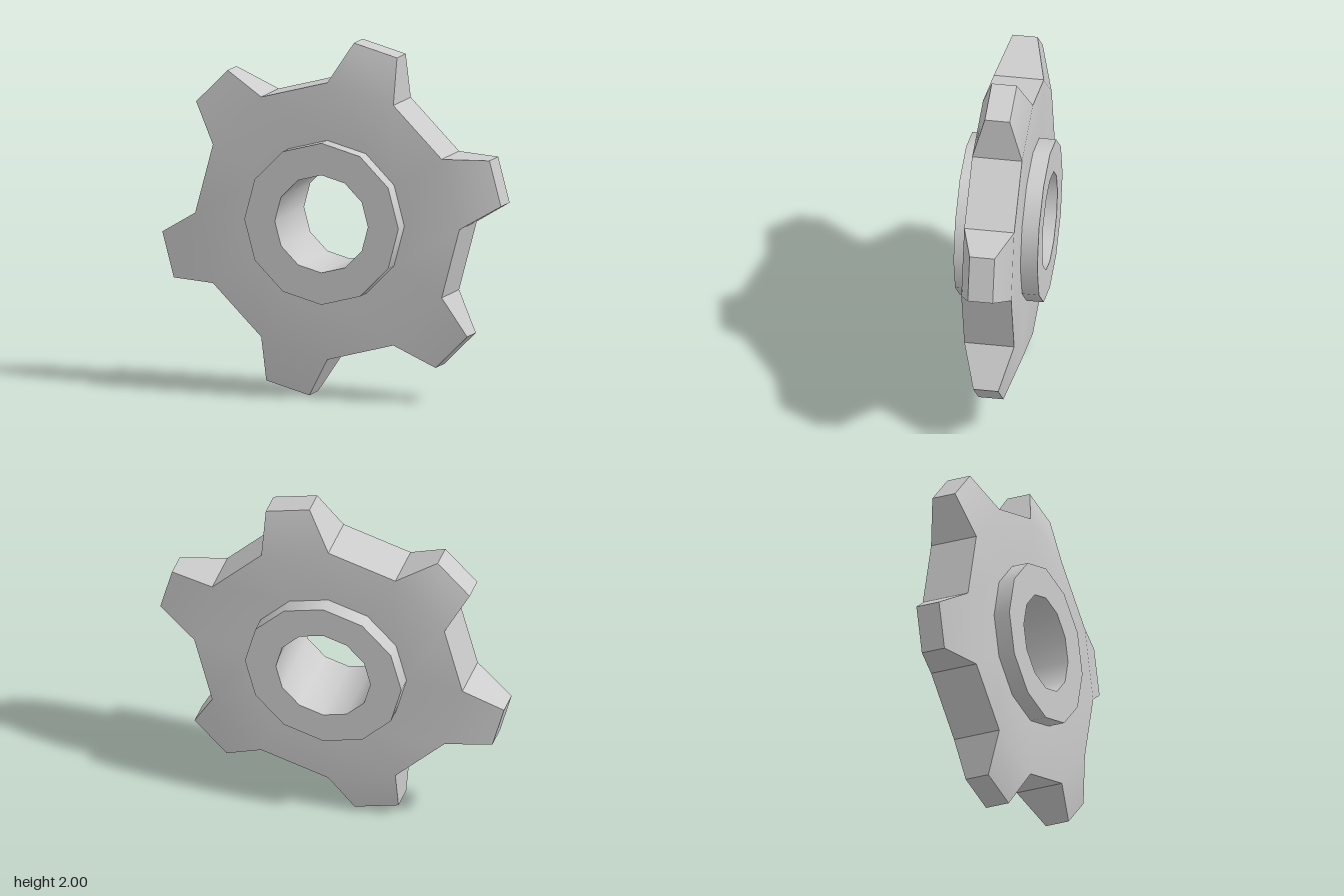
import * as THREE from 'three';
import { toCreasedNormals } from 'three/addons/utils/BufferGeometryUtils.js';

const STEP = Math.PI / 6; // twelve sectors: teeth and gaps alternate
const CREASE = 0.65;
const HUB_R = 0.455, HOLE_R = 0.275, HUB_HALF = 0.235;
const ROOT_R = 0.78, ROOT_HALF = 0.14;
const TIP_R = 1.0086, TIP_HALF = 0.07;

const polar = (r, a, z) => [r * Math.cos(a), r * Math.sin(a), z];

// Toothed disc built sector by sector around the hub
function wheelGeometry() {
  const pos = [];
  const quad = (a, b, c, d) => pos.push(...a, ...b, ...c, ...a, ...c, ...d);
  // Strip between two edges, each edge given as radius, angles and half depth
  const strip = (r0, a0, b0, h0, r1, a1, b1, h1) => {
    quad(polar(r0, a0, h0), polar(r1, a1, h1), polar(r1, b1, h1), polar(r0, b0, h0));
    quad(polar(r0, b0, -h0), polar(r1, b1, -h1), polar(r1, a1, -h1), polar(r0, a0, -h0));
  };
  // Wall across the depth from one outline point to the next (anticlockwise)
  const wall = (r0, a0, h0, r1, a1, h1) =>
    quad(polar(r0, a0, h0), polar(r0, a0, -h0), polar(r1, a1, -h1), polar(r1, a1, h1));

  for (let i = 0; i < 12; i++) {
    const a = i * STEP, b = a + STEP;
    strip(HUB_R, a, b, ROOT_HALF, ROOT_R, a, b, ROOT_HALF);
    if (i % 2) {
      wall(ROOT_R, a, ROOT_HALF, ROOT_R, b, ROOT_HALF);
    } else {
      // Tapered tooth
      const ta = a + STEP / 4, tb = b - STEP / 4;
      strip(ROOT_R, a, b, ROOT_HALF, TIP_R, ta, tb, TIP_HALF);
      wall(ROOT_R, a, ROOT_HALF, TIP_R, ta, TIP_HALF);
      wall(TIP_R, ta, TIP_HALF, TIP_R, tb, TIP_HALF);
      wall(TIP_R, tb, TIP_HALF, ROOT_R, b, ROOT_HALF);
    }
  }
  const g = new THREE.BufferGeometry();
  g.setAttribute('position', new THREE.Float32BufferAttribute(pos, 3));
  return toCreasedNormals(g, CREASE);
}

// Twelve-sided ring with a through hole, axis along z
function hubGeometry() {
  const profile = [
    [HOLE_R, -HUB_HALF], [HUB_R, -HUB_HALF], [HUB_R, HUB_HALF],
    [HOLE_R, HUB_HALF], [HOLE_R, -HUB_HALF],
  ].map(([r, y]) => new THREE.Vector2(r, y));
  const g = new THREE.LatheGeometry(profile, 12).rotateX(Math.PI / 2);
  return toCreasedNormals(g, CREASE);
}

export function createModel() {
  const group = new THREE.Group();
  group.name = 'sprocket';
  const material = new THREE.MeshStandardMaterial({ color: 0xcccccc });
  const add = (name, geometry) => {
    const mesh = new THREE.Mesh(geometry, material);
    mesh.name = name;
    mesh.position.y = 1;
    group.add(mesh);
  };
  add('toothedWheel', wheelGeometry());
  add('hub', hubGeometry());
  return group;
}
